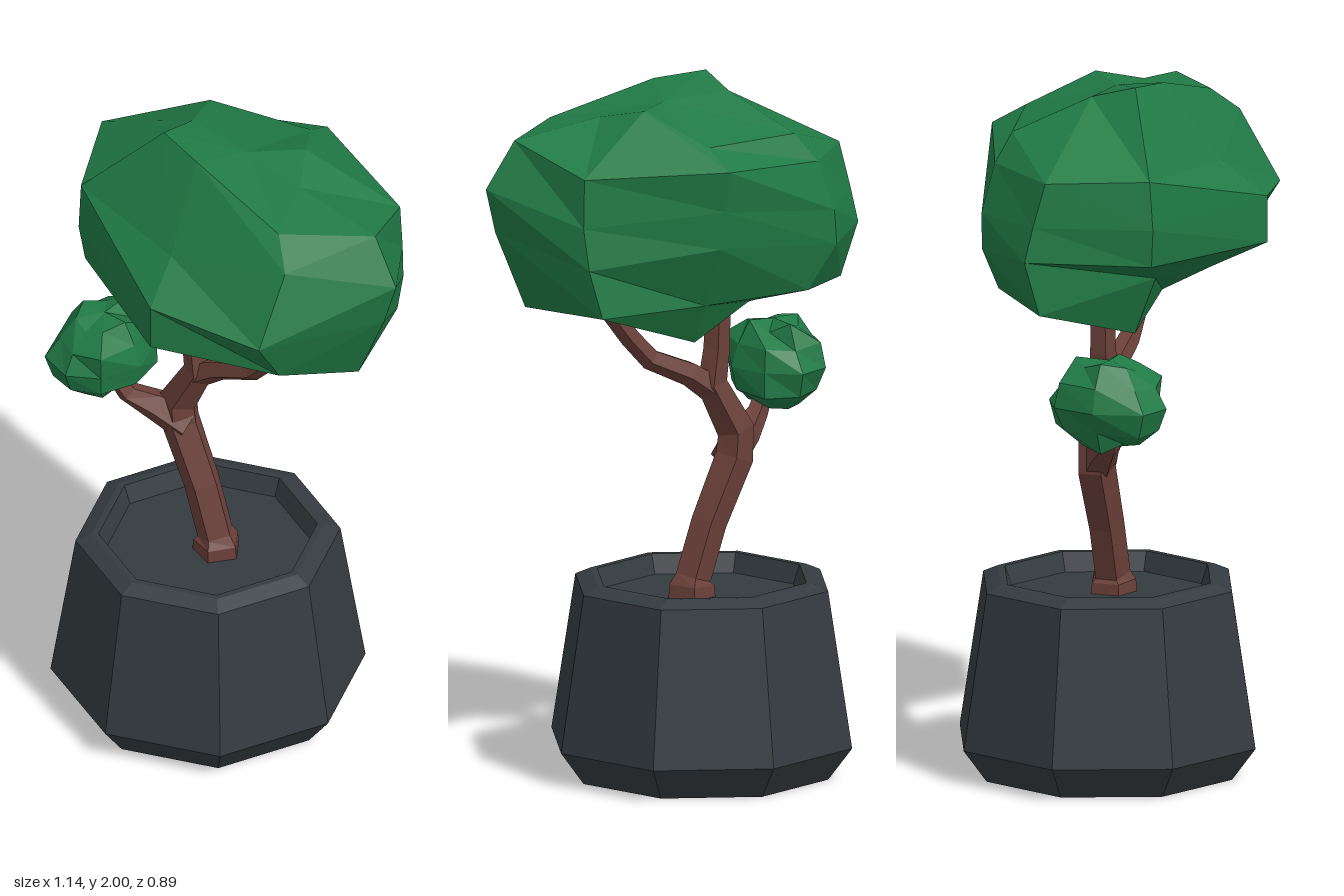
import * as THREE from 'three';

const SIDES = 8;

// Skin a stack of closed rings (bottom to top), closing both ends on a point
function loft(rings, bottom, top) {
  const n = rings[0].length;
  const pts = [bottom, ...rings.flat(), top];
  const last = pts.length - 1;
  const index = [];
  for (let j = 0; j < n; j++) {
    const k = (j + 1) % n;
    index.push(0, 1 + j, 1 + k);
    for (let i = 0; i < rings.length - 1; i++) {
      const a = 1 + i * n, b = a + n;
      index.push(a + j, b + j, b + k, a + j, b + k, a + k);
    }
    const t = 1 + (rings.length - 1) * n;
    index.push(last, t + k, t + j);
  }
  const geo = new THREE.BufferGeometry();
  geo.setAttribute('position', new THREE.Float32BufferAttribute(pts.flat(), 3));
  geo.setIndex(index);
  geo.computeVertexNormals();
  return geo;
}

// Tapered five-sided limb through [x, y, z, radius] nodes
function limb(nodes) {
  const sides = 5;
  const p = nodes.map(([x, y, z]) => new THREE.Vector3(x, y, z));
  const rings = p.map((c, i) => {
    const t = p[Math.min(i + 1, p.length - 1)].clone().sub(p[Math.max(i - 1, 0)]).normalize();
    const u = new THREE.Vector3().crossVectors(t, new THREE.Vector3(0, 0, 1)).normalize();
    const w = new THREE.Vector3().crossVectors(u, t);
    return Array.from({ length: sides }, (_, j) => {
      const a = (j / sides) * Math.PI * 2;
      return c.clone().addScaledVector(u, Math.cos(a) * nodes[i][3])
        .addScaledVector(w, Math.sin(a) * nodes[i][3]).toArray();
    });
  });
  return loft(rings, p[0].toArray(), p[p.length - 1].toArray());
}

// Small faceted leaf ball with seeded bumps
function leafBall(cx, cy, cz, rx, ry, rz) {
  let seed = 11;
  const rand = () => (seed = (seed * 16807) % 2147483647) / 2147483647;
  const rings = [];
  for (let i = 1; i <= 5; i++) {
    const lat = -Math.PI / 2 + (i / 6) * Math.PI;
    rings.push(Array.from({ length: SIDES }, (_, j) => {
      const a = (j / SIDES) * Math.PI * 2;
      const s = 0.86 + rand() * 0.28;
      return [cx + Math.cos(a) * Math.cos(lat) * rx * s,
        cy + Math.sin(lat) * ry * s,
        cz + Math.sin(a) * Math.cos(lat) * rz * s];
    }));
  }
  return loft(rings, [cx, cy - ry * 0.92, cz], [cx, cy + ry * 0.95, cz]);
}

export function createModel() {
  const make = (name, color) => new THREE.MeshStandardMaterial({ name, color, flatShading: true });
  const potMat = make('slate', 0x343b40);
  const barkMat = make('bark', 0x6b4039);
  const leafMat = make('leaf green', 0x207a45);

  const model = new THREE.Group();
  model.name = 'pottedTree';
  const add = (parent, name, geo, mat) => {
    const m = new THREE.Mesh(geo, mat);
    m.name = name;
    parent.add(m);
    return m;
  };

  // Octagonal pot with chamfered foot, bevelled rim and sunken floor
  const profile = [[0, 0], [0.375, 0], [0.446, 0.095], [0.375, 0.545], [0.33, 0.565],
    [0.31, 0.565], [0.29, 0.51], [0, 0.51]].map(([r, y]) => new THREE.Vector2(r, y));
  add(model, 'pot', new THREE.LatheGeometry(profile, SIDES), potMat).position.x = -0.12;

  // Trunk and branches
  const tree = new THREE.Group();
  tree.name = 'trunkAndBranches';
  model.add(tree);
  add(tree, 'trunk', limb([[-0.085, 0.49, 0, 0.072], [-0.085, 0.545, 0, 0.068], [-0.09, 0.565, 0, 0.054],
    [-0.14, 0.72, 0, 0.054], [-0.22, 0.9, 0, 0.058], [-0.225, 0.98, 0, 0.056],
    [-0.15, 1.12, 0, 0.046], [-0.165, 1.22, 0, 0.04], [-0.175, 1.45, 0, 0.034]]), barkMat);
  add(tree, 'rightwardBranch', limb([[-0.16, 1.1, 0, 0.044], [-0.08, 1.155, 0, 0.037],
    [0.045, 1.21, 0, 0.032], [0.11, 1.28, 0, 0.03], [0.24, 1.45, 0, 0.028]]), barkMat);
  add(tree, 'sideBranch', limb([[-0.2, 0.9, 0, 0.054], [-0.28, 0.955, 0.045, 0.046],
    [-0.34, 0.995, 0.09, 0.032], [-0.4, 1.1, 0.125, 0.024]]), barkMat);

  // Main crown: rings run from +x through +z, bottom to top
  const crown = [
    [[0.25, 1.385, 0], [0.2, 1.38, 0.08], [0, 1.375, 0.12], [-0.22, 1.295, 0.12],
      [-0.33, 1.39, -0.02], [-0.2, 1.38, -0.14], [0, 1.29, -0.19], [0.16, 1.36, -0.16]],
    [[0.44, 1.4, 0], [0.28, 1.42, 0.17], [0, 1.455, 0.27], [-0.24, 1.465, 0.19],
      [-0.535, 1.4, -0.05], [-0.33, 1.42, -0.25], [0, 1.41, -0.26], [0.34, 1.41, -0.285]],
    [[0.535, 1.625, 0], [0.36, 1.49, 0.25], [0.03, 1.53, 0.425], [-0.38, 1.53, 0.23],
      [-0.575, 1.56, -0.08], [-0.41, 1.55, -0.27], [0, 1.59, -0.35], [0.375, 1.55, -0.27]],
    [[0.57, 1.755, -0.01], [0.36, 1.63, 0.34], [0.03, 1.665, 0.425], [-0.395, 1.64, 0.24],
      [-0.56, 1.66, -0.06], [-0.4, 1.65, -0.275], [-0.01, 1.7, -0.365], [0.385, 1.67, -0.255]],
    [[0.485, 1.89, -0.02], [0.355, 1.83, 0.22], [0, 1.765, 0.3], [-0.395, 1.78, 0.23],
      [-0.54, 1.785, -0.03], [-0.36, 1.79, -0.25], [-0.01, 1.82, -0.39], [0.38, 1.81, -0.25]],
    [[0.21, 1.93, -0.015], [0.28, 1.9, 0.16], [-0.04, 1.985, 0.14], [-0.19, 2.0, 0.11],
      [-0.195, 1.965, -0.02], [-0.3, 1.87, -0.22], [0.01, 1.875, -0.295], [0.13, 1.96, -0.13]],
  ];
  add(model, 'crown', loft(crown, [0, 1.39, 0], [0.01, 1.955, -0.02]), leafMat);

  // Small leaf cluster on the side branch
  add(model, 'sideLeafCluster', leafBall(-0.406, 1.13, 0.115, 0.137, 0.135, 0.185), leafMat);

  return model;
}
